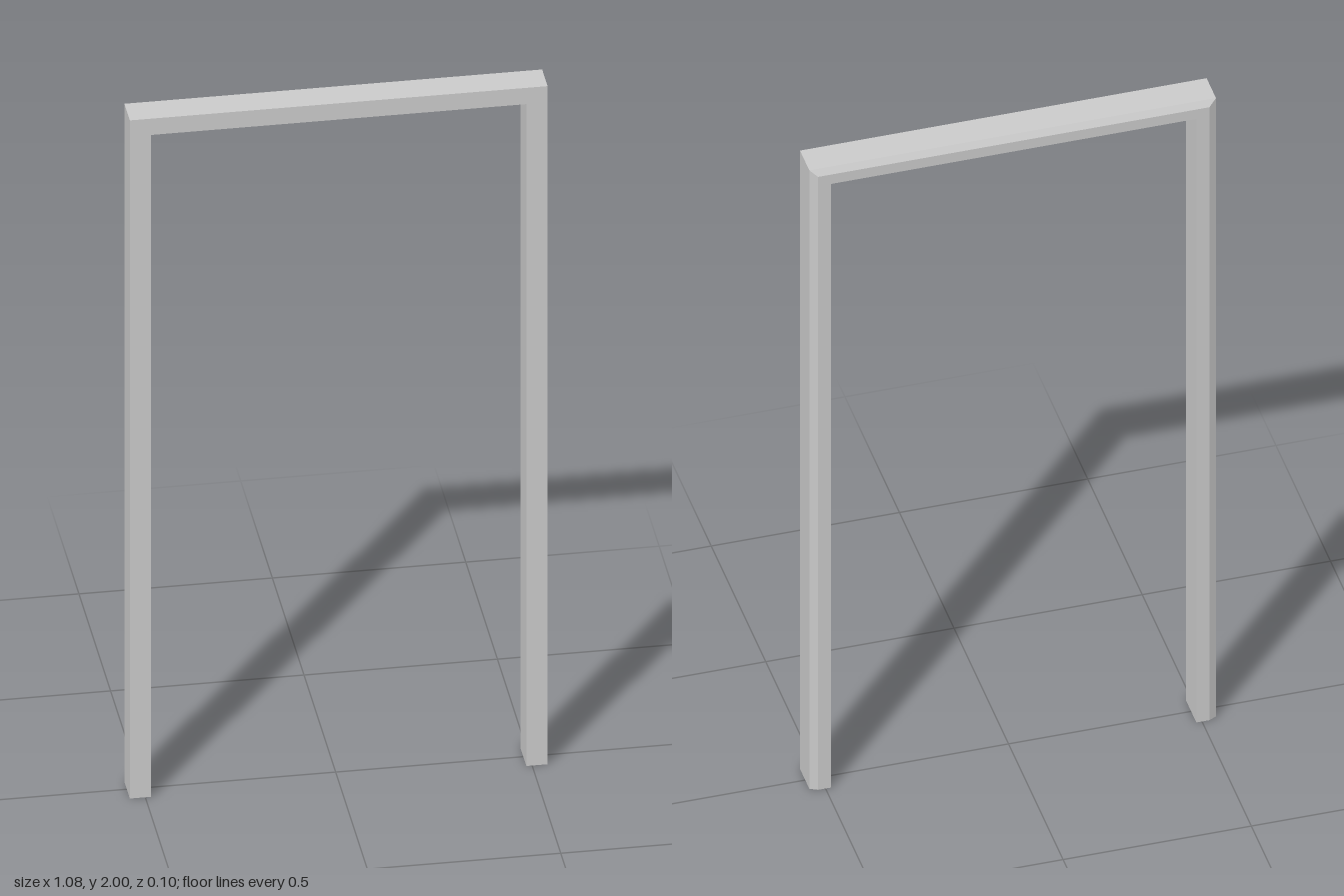
import * as THREE from 'three';

// Sweeps a closed cross-section along mitred stations and caps both ends.
function sweep(stations, profile) {
  const rings = stations.map(({ outer, inset }) => profile.map(([t, z]) =>
    [outer[0] + inset[0] * t, outer[1] + inset[1] * t, z]));
  const pos = [];
  const tri = (a, b, c) => pos.push(...a, ...b, ...c);
  const n = profile.length;
  for (let s = 0; s < rings.length - 1; s++) {
    for (let i = 0; i < n; i++) {
      const j = (i + 1) % n;
      const a = rings[s][i], b = rings[s][j], c = rings[s + 1][j], d = rings[s + 1][i];
      tri(a, c, b);
      tri(a, d, c);
    }
  }
  const first = rings[0], last = rings[rings.length - 1];
  for (let i = 1; i < n - 1; i++) {
    tri(first[0], first[i], first[i + 1]);
    tri(last[0], last[i + 1], last[i]);
  }
  const geo = new THREE.BufferGeometry();
  geo.setAttribute('position', new THREE.Float32BufferAttribute(pos, 3));
  geo.computeVertexNormals();
  return geo;
}

export function createModel() {
  const group = new THREE.Group();
  group.name = 'doorFrame';
  const material = new THREE.MeshStandardMaterial({ color: 0xcccccc, flatShading: true });

  const halfW = 0.54, height = 2, jamb = 0.055, head = 0.048, halfD = 0.048;

  // Cross-section: t runs from the outer (0) to the inner (1) side; outer back edge is bevelled
  const profile = [[0, halfD], [0, -halfD + 0.01], [0.37, -halfD], [1, -halfD], [1, halfD]];

  // Up one jamb, across the head and down the other jamb
  const stations = [
    { outer: [-halfW, 0], inset: [jamb, 0] },
    { outer: [-halfW, height], inset: [jamb, -head] },
    { outer: [halfW, height], inset: [-jamb, -head] },
    { outer: [halfW, 0], inset: [-jamb, 0] },
  ];

  const frame = new THREE.Mesh(sweep(stations, profile), material);
  frame.name = 'jambsAndHead';
  group.add(frame);
  return group;
}
